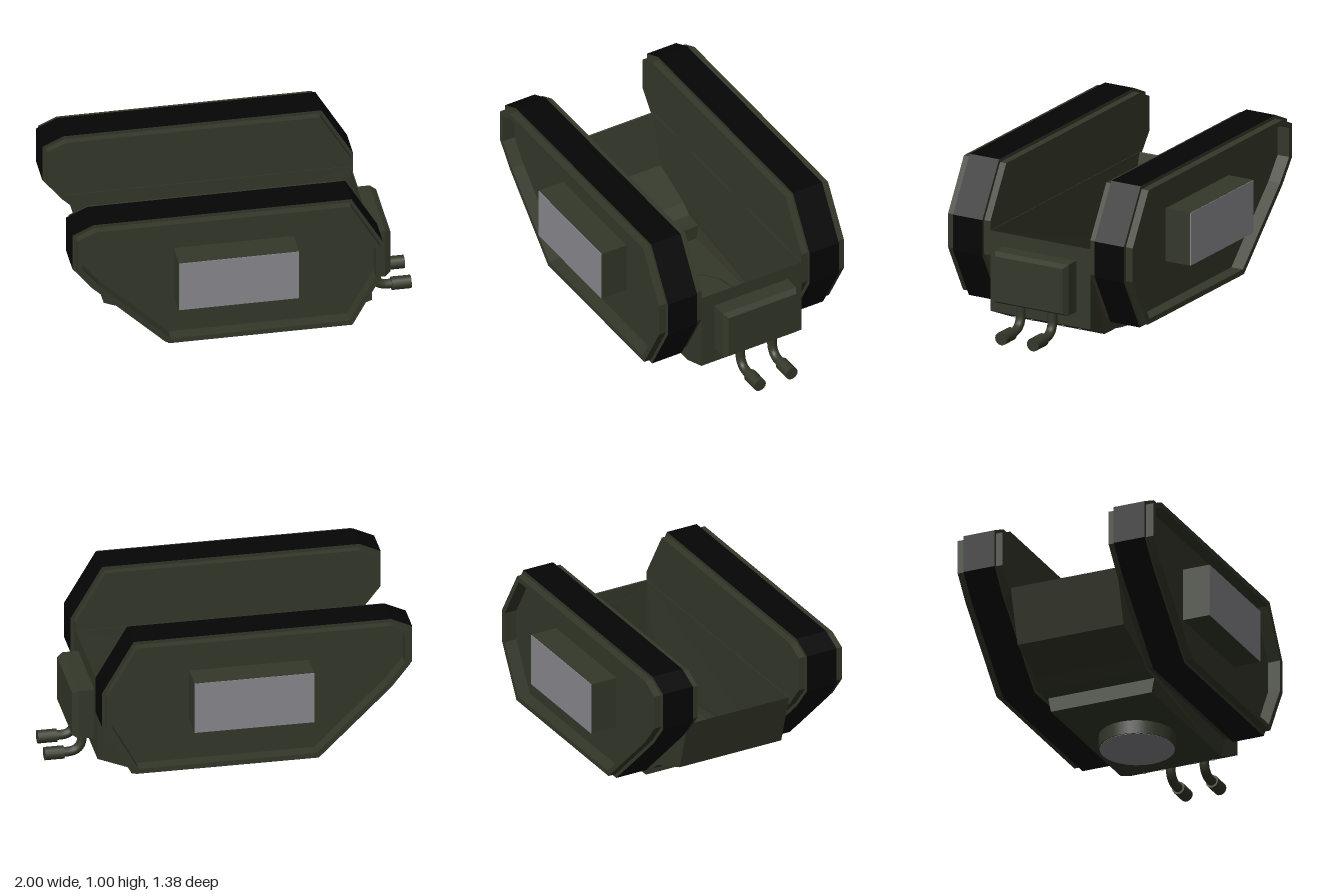
import * as THREE from 'three';

const mat = (name, color) => {
  const m = new THREE.MeshStandardMaterial({ color });
  m.name = name;
  return m;
};

// Moves every edge of a clockwise outline inwards by d
function inset(pts, d) {
  const n = pts.length;
  const edge = (i) => {
    const [a, b] = [pts[(i + n) % n], pts[(i + 1) % n]];
    const l = Math.hypot(b[0] - a[0], b[1] - a[1]);
    const nx = (b[1] - a[1]) / l, ny = -(b[0] - a[0]) / l;
    return [nx, ny, nx * a[0] + ny * a[1] + d];
  };
  return pts.map((p, i) => {
    const [a, b, c] = edge(i - 1), [e, f, g] = edge(i);
    const det = a * f - b * e;
    return [(c * f - b * g) / det, (a * g - c * e) / det];
  });
}

const vectors = (pts) => pts.map((p) => new THREE.Vector2(...p));

// Slab with a side outline, reaching from z0 to z1, with an optional clockwise hole
function slab(outline, z0, z1, hole) {
  const shape = new THREE.Shape(vectors(outline));
  if (hole) shape.holes.push(new THREE.Path(vectors(hole).reverse()));
  const g = new THREE.ExtrudeGeometry(shape, { depth: Math.abs(z1 - z0), bevelEnabled: false });
  return g.translate(0, 0, Math.min(z0, z1));
}

// Applies a rule to every vertex and gives flat normals
function reshape(geo, rule) {
  const g = geo.index ? geo.toNonIndexed() : geo;
  const p = g.attributes.position, v = new THREE.Vector3();
  for (let i = 0; i < p.count; i++) {
    rule(v.fromBufferAttribute(p, i));
    p.setXYZ(i, v.x, v.y, v.z);
  }
  g.computeVertexNormals();
  return g;
}

export function createModel() {
  const root = new THREE.Group();
  root.name = 'trackedHull';
  const green = mat('olive green', 0x343829);
  const black = mat('track black', 0x050505);
  const grey = mat('joint grey', 0x8a898e);

  const add = (name, geo, material, x = 0, y = 0, z = 0) => {
    const m = new THREE.Mesh(geo, material);
    m.name = name;
    m.position.set(x, y, z);
    root.add(m);
    return m;
  };

  // Open tub hull: a thin folded floor and two side walls, belly slightly narrowed
  const hull = [
    [-0.87, 0.632], [0.74, 0.632], [0.74, 0.16], [0.56, 0.08], [-0.37, 0.08],
    [-0.37, 0.165], [-0.47, 0.17], [-0.53, 0.22], [-0.78, 0.32],
  ];
  const fromTop = (pts) => [...pts.slice(1), pts[0]];
  const floor = [...fromTop(hull), ...fromTop(inset(hull, 0.004)).reverse()];
  const taper = (v) => { if (v.y < 0.1) v.z *= 0.95; };
  add('hullFloor', reshape(slab(floor, -0.324, 0.324), taper), green);
  for (const s of [1, -1]) {
    add('hullSide', reshape(slab(hull, s * 0.321, s * 0.325), taper), green);
  }

  // Round plate on the tub floor
  const plate = reshape(new THREE.CylinderGeometry(0.22, 0.245, 0.012, 14), () => {});
  add('floorPlate', plate, green, 0.125, 0.088, -0.015);

  // Mounting ring under the belly, with its grey face
  add('mountRing', new THREE.CylinderGeometry(0.216, 0.216, 0.08, 28), green, 0.125, 0.042, -0.007);
  add('mountFace', new THREE.CylinderGeometry(0.21, 0.21, 0.004, 28), grey, 0.125, 0.002, -0.007);

  // Track units on both sides
  const outline = [
    [-1, 0.94], [-0.88, 0.996], [0.58, 0.996], [0.76, 0.69], [0.76, 0.48], [0.59, 0.17],
    [-0.47, 0.17], [-0.89, 0.58], [-1, 0.72],
  ];
  const panel = inset(outline, 0.02), recess = inset(outline, 0.05);
  for (const s of [1, -1]) {
    const side = s > 0 ? 'left' : 'right';
    // Black running surface with green flanks, around a green core
    add(side + 'Track', slab(outline, s * 0.365, s * 0.555, inset(outline, 0.035)), [green, black]);
    add(side + 'Core', slab(panel, s * 0.325, s * 0.525), green);
    add(side + 'OuterRim', slab(panel, s * 0.525, s * 0.6, recess), green);
    // Connector block with a grey end face
    add(side + 'Connector', new THREE.BoxGeometry(0.68, 0.31, 0.165), green, -0.08, 0.615, s * 0.6015);
    add(side + 'ConnectorFace', new THREE.BoxGeometry(0.678, 0.308, 0.004), grey, -0.08, 0.615, s * 0.686);
  }

  // Exhaust box with bevelled outer end
  const box = reshape(new THREE.BoxGeometry(0.13, 0.3, 0.475, 2, 1, 1), (v) => {
    if (Math.abs(v.x) < 0.01) v.x = 0.032;
    else if (v.x > 0.05) {
      v.y -= Math.sign(v.y) * 0.018;
      v.z -= Math.sign(v.z) * 0.018;
    }
  });
  add('exhaustBox', box, green, 0.798, 0.4, 0.002);

  // Bent exhaust pipes with thicker tips
  const path = new THREE.CurvePath();
  const P = (x, y) => new THREE.Vector3(x, y, 0);
  path.add(new THREE.LineCurve3(P(0.785, 0.27), P(0.785, 0.19)));
  path.add(new THREE.QuadraticBezierCurve3(P(0.785, 0.19), P(0.79, 0.107), P(0.87, 0.107)));
  path.add(new THREE.LineCurve3(P(0.87, 0.107), P(0.92, 0.107)));
  for (const z of [0.1, -0.106]) {
    add('exhaustPipe', new THREE.TubeGeometry(path, 20, 0.027, 12), green, 0, 0, z);
    add('exhaustTip', new THREE.CylinderGeometry(0.038, 0.038, 0.11, 14).rotateZ(Math.PI / 2), green, 0.945, 0.107, z);
  }

  // Small bolts on the sloped nose
  for (const z of [0.21, 0.1, -0.1, -0.21]) {
    const bolt = add('noseBolt', new THREE.CylinderGeometry(0.008, 0.008, 0.012, 8), grey, 0.663, 0.124, z);
    bolt.rotation.z = Math.atan2(0.08, 0.18);
  }
  return root;
}
